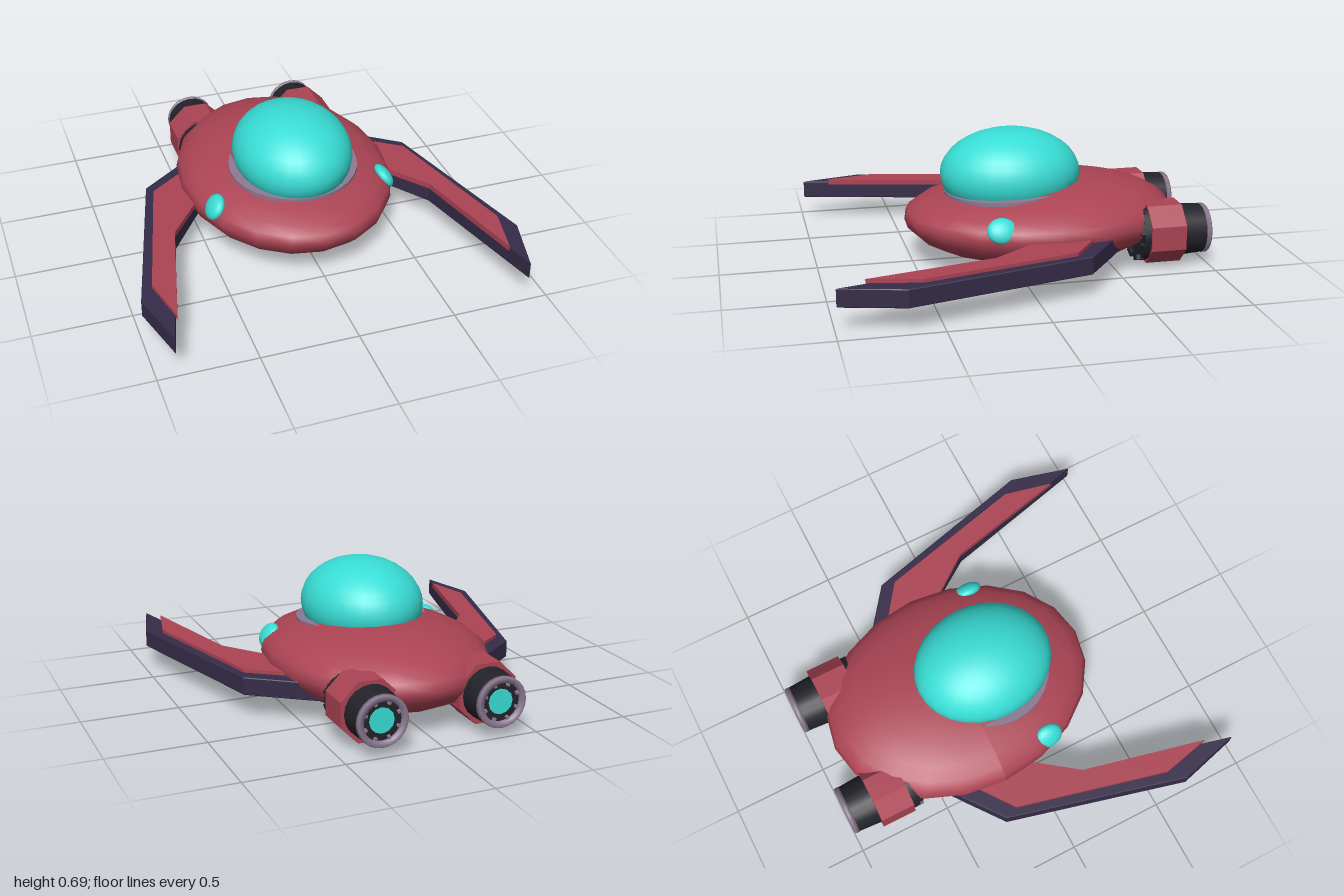
import * as THREE from 'three';

const mat = (name, color) => {
  const m = new THREE.MeshStandardMaterial({ color });
  m.name = name;
  return m;
};

export function createModel() {
  const red = mat('hull red', 0xac4454);
  const teal = mat('glass teal', 0x38ddd5);
  const purple = mat('wing purple', 0x352c48);
  const black = mat('engine black', 0x22222a);
  const grey = mat('trim grey', 0x8c7a92);
  const model = new THREE.Group();

  const add = (parent, name, geometry, material, x = 0, y = 0, z = 0) => {
    const mesh = new THREE.Mesh(geometry, material);
    mesh.name = name;
    mesh.position.set(x, y, z);
    parent.add(mesh);
    return mesh;
  };

  // Hull: flattened egg, deeper below the waist and slightly raised at the rear
  const hull = new THREE.SphereGeometry(1, 20, 14);
  const p = hull.attributes.position;
  for (let i = 0; i < p.count; i++) {
    const x = p.getX(i), y = p.getY(i), z = p.getZ(i);
    const h = y > 0 ? y * (0.19 - 0.03 * z) : y * 0.237;
    p.setXYZ(i, x * 0.565, h, z * 0.72);
  }
  hull.computeVertexNormals();
  add(model, 'hull', hull, red, 0, 0.24, -0.18);

  // Cockpit dome and the rim it sits in
  add(model, 'dome', new THREE.SphereGeometry(1, 28, 18), teal, 0, 0.46, -0.025).scale.set(0.31, 0.235, 0.37);
  const rim = add(model, 'domeRim', new THREE.CylinderGeometry(1, 1, 0.03, 28), grey, 0, 0.377, -0.01);
  rim.scale.set(0.34, 1, 0.335);
  rim.rotation.x = 0.05;

  // Flat plate from an outline of [x, z] points, with its top at the given height
  const plate = (outline, side, top, depth, bevel) => {
    const shape = new THREE.Shape(outline.map(([x, z]) => new THREE.Vector2(x * side, z)));
    const g = new THREE.ExtrudeGeometry(shape, {
      depth: depth - 2 * bevel, bevelEnabled: bevel > 0,
      bevelThickness: bevel, bevelSize: bevel, bevelOffset: -bevel, bevelSegments: 1,
    });
    return g.rotateX(Math.PI / 2).translate(0, top - bevel, 0);
  };
  const wingOutline = [[0.36, -0.55], [0.54, -0.42], [0.74, -0.27], [0.985, 0.67], [0.9, 0.99], [0.7, 0.2], [0.54, -0.03], [0.4, -0.22]];
  const panelOutline = [[0.4, -0.43], [0.715, -0.2], [0.912, 0.59], [0.853, 0.85], [0.7, 0.2], [0.55, 0], [0.4, -0.2]];

  // Cylinder lying along z, from front to back
  const tube = (front, back, z0, z1, sides, turn = 0) =>
    new THREE.CylinderGeometry(front, back, z0 - z1, sides).rotateY(turn).rotateX(Math.PI / 2).translate(0, 0, (z0 + z1) / 2);

  for (const side of [1, -1]) {
    const label = side > 0 ? 'left' : 'right';

    // Swept wing with a raised panel
    const wing = new THREE.Group();
    wing.name = label + 'Wing';
    model.add(wing);
    add(wing, 'wingBody', plate(wingOutline, side, 0.217, 0.092, 0.004), purple);
    add(wing, 'wingPanel', plate(panelOutline, side, 0.235, 0.03, 0), red);

    // Lamp lying flush on the hull shoulder
    const lamp = add(model, label + 'Lamp', new THREE.SphereGeometry(1, 18, 12), teal, 0.465 * side, 0.287, 0.12);
    lamp.scale.set(0.038, 0.068, 0.078);
    lamp.rotation.z = 0.6 * side;

    // Engine: toothed collar, octagonal casing, tapered nozzle
    const engine = new THREE.Group();
    engine.name = label + 'Engine';
    engine.position.set(0.31 * side, 0.18, 0);
    model.add(engine);
    add(engine, 'casing', tube(0.165, 0.165, -0.665, -0.85, 8, Math.PI / 8).toNonIndexed(), red).geometry.computeVertexNormals();
    add(engine, 'collar', tube(0.148, 0.148, -0.63, -0.67, 16), black);
    add(engine, 'nozzle', tube(0.136, 0.127, -0.84, -0.975, 20), black);

    // Exhaust ring, glowing core and the studs between them
    const ring = new THREE.LatheGeometry(
      [[0.1, 0], [0.13, 0], [0.13, 0.02], [0.125, 0.027], [0.1, 0.027], [0.1, 0]].map(([r, y]) => new THREE.Vector2(r, y)), 24);
    ring.rotateX(-Math.PI / 2).translate(0, 0, -0.973);
    const ringMesh = add(engine, 'exhaustRing', ring, grey);
    ringMesh.material = grey;
    add(engine, 'exhaustCore', tube(0.064, 0.064, -0.97, -0.98, 12), teal);
    for (let i = 0; i < 8; i++) {
      const a = (i + 0.5) * Math.PI / 4;
      const c = Math.cos(a), s = Math.sin(a);
      add(engine, 'exhaustStud', new THREE.BoxGeometry(0.022, 0.014, 0.016), grey, 0.094 * c, 0.094 * s, -0.982).rotation.z = a;
      add(engine, 'collarTooth', new THREE.BoxGeometry(0.025, 0.055, 0.04), black, 0.132 * c, 0.132 * s, -0.628).rotation.z = a;
    }
  }
  return model;
}
